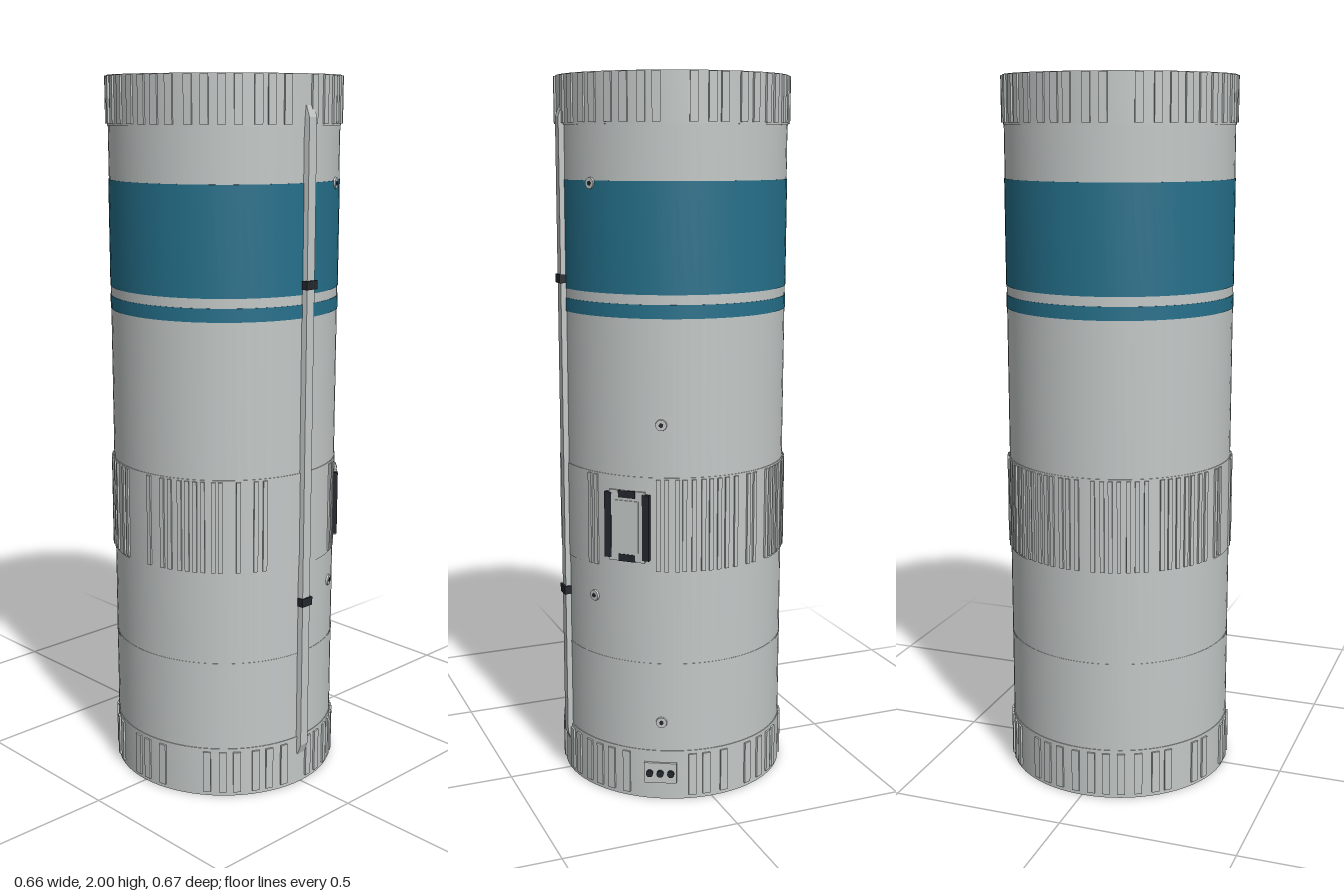
import * as THREE from 'three';
import { toCreasedNormals } from 'three/addons/utils/BufferGeometryUtils.js';

const HULL = 0.321, INNER = 0.314, SEGMENTS = 72;

export function createModel() {
  const material = (name, color) => {
    const m = new THREE.MeshStandardMaterial({ color });
    m.name = name;
    return m;
  };
  const grey = material('hull grey', 0xc3c8c7);
  const blue = material('band blue', 0x25708b);
  const black = material('fitting black', 0x24282e);

  const model = new THREE.Group();
  model.name = 'rocketStage';
  const body = new THREE.Group();
  body.name = 'body';
  body.position.z = -0.007;
  model.add(body);

  const add = (name, geometry, mat, parent = body) => {
    const mesh = new THREE.Mesh(geometry, mat);
    mesh.name = name;
    parent.add(mesh);
    return mesh;
  };

  // Hollow ring with a rectangular section
  const ring = (name, r0, r1, y0, y1, mat) => {
    const profile = [[r0, y0], [r1, y0], [r1, y1], [r0, y1], [r0, y0]];
    const lathe = new THREE.LatheGeometry(profile.map(p => new THREE.Vector2(...p)), SEGMENTS);
    return add(name, toCreasedNormals(lathe, 0.6), mat);
  };

  // Group on the hull: its z points outwards; angle runs from front to left
  const mount = (name, degrees, y, radius = HULL) => {
    const a = THREE.MathUtils.degToRad(degrees);
    const g = new THREE.Group();
    g.name = name;
    g.position.set(Math.sin(a) * radius, y, Math.cos(a) * radius);
    g.rotation.y = a;
    body.add(g);
    return g;
  };
  const box = (name, parent, w, h, d, x, y, z, mat) =>
    add(name, new THREE.BoxGeometry(w, h, d), mat, parent).position.set(x, y, z);

  // Hull tube, collars and seam
  ring('hull', INNER, HULL, 0, 2, grey);
  ring('topCollar', HULL - 0.002, HULL + 0.002, 1.867, 2, grey);
  ring('middleCollar', HULL - 0.002, HULL + 0.002, 0.665, 0.935, grey);
  ring('bottomCollar', HULL - 0.002, HULL + 0.002, 0, 0.145, grey);
  ring('lowerSeam', HULL - 0.002, HULL + 0.001, 0.398, 0.404, grey);

  // Painted bands
  ring('wideBand', HULL - 0.002, HULL + 0.0015, 1.428, 1.722, blue);
  ring('narrowBand', HULL - 0.002, HULL + 0.0015, 1.365, 1.402, blue);

  // Domed bulkheads with a round cap, one at each end
  const domePoints = [];
  for (let i = 0; i <= 16; i++) {
    const t = (i / 16) * Math.PI / 2;
    domePoints.push(new THREE.Vector2(0.305 * Math.cos(t), 0.145 * Math.sin(t)));
  }
  domePoints[16].x = 0;
  const dome = new THREE.LatheGeometry(domePoints, 40);
  for (const end of ['top', 'bottom']) {
    const bulkhead = new THREE.Group();
    bulkhead.name = end + 'Bulkhead';
    bulkhead.position.y = end === 'top' ? 1.832 : 0.168;
    if (end === 'bottom') bulkhead.rotation.x = Math.PI;
    body.add(bulkhead);
    add(end + 'Dome', dome, grey, bulkhead);
    add(end + 'DomeCap', new THREE.CylinderGeometry(0.047, 0.047, 0.02, 10), grey, bulkhead)
      .position.y = 0.147;
  }

  // Stiffening ribs, slightly uneven, leaving room for fittings
  let seed = 7;
  const random = () => (seed = (seed * 16807) % 2147483647) / 2147483647;
  const ribs = (name, count, y0, y1, width, skip, blocked) => {
    for (let i = 0; i < count; i++) {
      const angle = (i + 0.5 + (random() - 0.5) * 0.3) * 360 / count;
      if (random() < skip || blocked(angle)) continue;
      const rib = mount(name, angle, (y0 + y1) / 2);
      box(name, rib, width, y1 - y0, 0.012, 0, 0, 0.001, grey);
    }
  };
  ribs('topRib', 44, 1.872, 1.998, 0.022, 0.12, () => false);
  ribs('middleRib', 84, 0.672, 0.93, 0.012, 0.15,
    a => a < 20 || a > 340 || (a > 31 && a < 61));
  ribs('bottomRib', 44, 0.012, 0.135, 0.022, 0.12, a => a > 52 && a < 74);

  // Cable duct with bevelled sides and tapered ends, held by two clamps
  const duct = mount('cableDuct', 0, 0);
  const ductGeometry = new THREE.BoxGeometry(0.036, 1.83, 0.016, 1, 4, 1);
  const p = ductGeometry.attributes.position;
  for (let i = 0; i < p.count; i++) {
    const y = p.getY(i);
    if (Math.abs(y) > 0.4 && Math.abs(y) < 0.9) p.setY(i, Math.sign(y) * 0.885);
    if (p.getZ(i) > 0) {
      p.setX(i, p.getX(i) * 0.8);
      if (Math.abs(y) > 0.9) p.setZ(i, -0.003);
    }
  }
  const ductMesh = add('ductCover', ductGeometry.toNonIndexed(), grey, duct);
  ductMesh.geometry.computeVertexNormals();
  ductMesh.position.set(0, 1.005, 0.006);
  for (const y of [0.558, 1.454]) box('ductClamp', duct, 0.04, 0.024, 0.022, 0, y, 0.008, black);

  // Access hatch with dark rails and latches
  const hatch = mount('accessHatch', 46, 0.795);
  box('hatchPanel', hatch, 0.105, 0.2, 0.012, 0, 0, 0, grey);
  box('hatchDoor', hatch, 0.07, 0.145, 0.012, 0, 0, 0.003, grey);
  for (const s of [-1, 1]) {
    box('hatchRail', hatch, 0.02, 0.185, 0.014, s * 0.056, 0, 0.001, black);
    box('hatchLatch', hatch, 0.05, 0.02, 0.014, 0, s * 0.09, 0.001, black);
  }

  // Small round ports
  for (const [angle, y] of [[26, 1.715], [63, 1.08], [26, 0.577], [63, 0.23]]) {
    const port = mount('port', angle, y);
    const base = add('portBase', new THREE.CylinderGeometry(0.015, 0.017, 0.01, 14), grey, port);
    base.rotation.x = Math.PI / 2;
    const nozzle = add('portNozzle', new THREE.CylinderGeometry(0.006, 0.006, 0.013, 10), black, port);
    nozzle.rotation.x = Math.PI / 2;
  }

  // Service connector plate with three sockets
  const connector = mount('serviceConnector', 62.5, 0.08);
  box('connectorPlate', connector, 0.092, 0.06, 0.012, 0, 0, 0.002, grey);
  for (const x of [-0.03, 0, 0.03]) {
    const socket = add('connectorSocket', new THREE.CylinderGeometry(0.01, 0.01, 0.016, 12), black, connector);
    socket.rotation.x = Math.PI / 2;
    socket.position.set(x, 0, 0.008);
  }
  return model;
}
